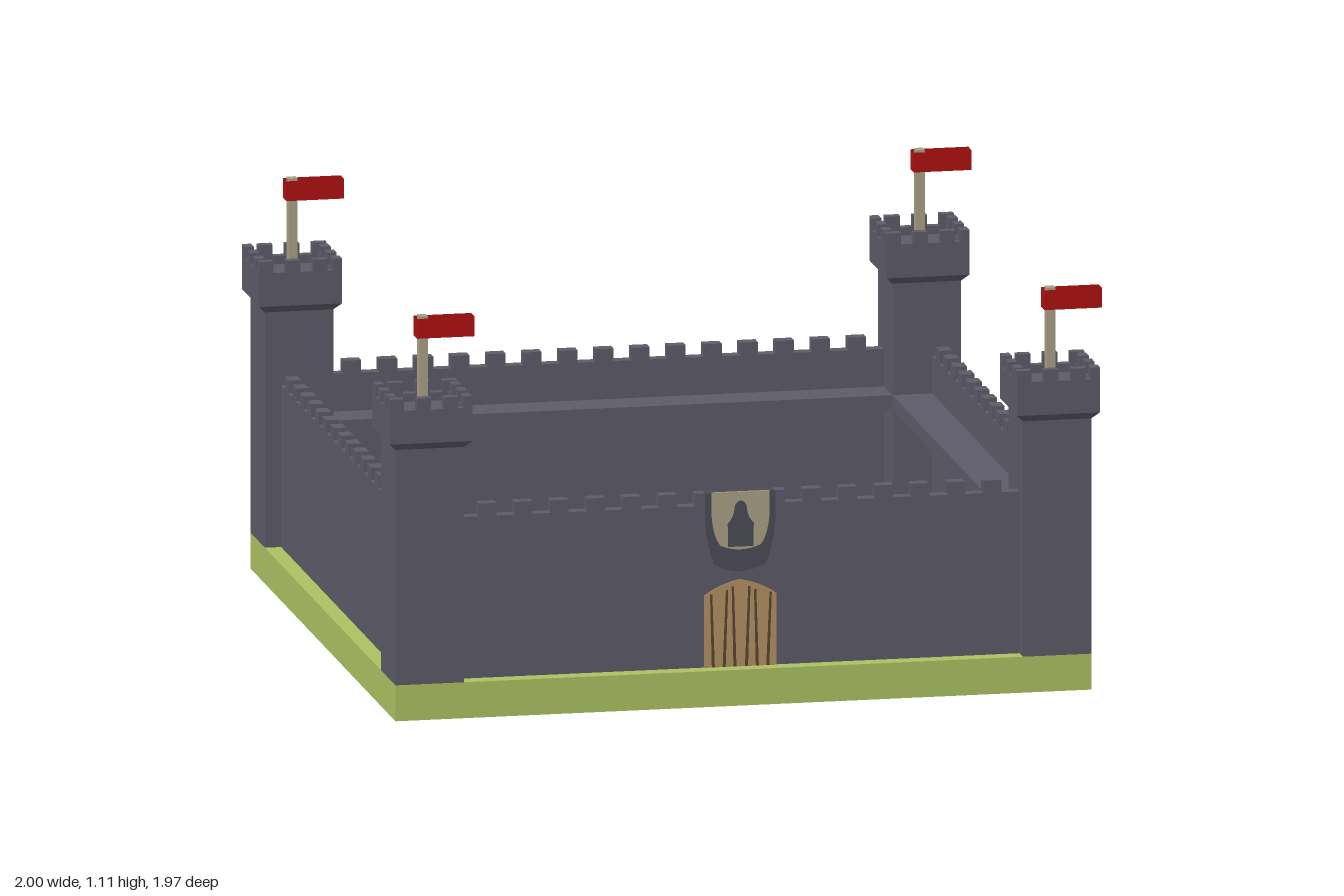
import * as THREE from 'three';

const mat = (name, color) => {
  const m = new THREE.MeshStandardMaterial({ color });
  m.name = name;
  return m;
};

export function createModel() {
  const stone = mat('stone', 0x5c5b68);
  const grass = mat('grass', 0xadc162);
  const wood = mat('wood', 0xb29063);
  const darkWood = mat('darkWood', 0x5a4530);
  const cream = mat('cream', 0xaaa085);
  const red = mat('red', 0xb01010);
  red.side = THREE.DoubleSide;
  const iron = mat('iron', 0x4b4b56);

  const model = new THREE.Group();
  model.name = 'castle';
  const castle = new THREE.Group();
  castle.name = 'castleBody';
  castle.position.x = -0.015;
  model.add(castle);

  const add = (parent, name, geo, material) => {
    const mesh = new THREE.Mesh(geo, material);
    mesh.name = name;
    parent.add(mesh);
    return mesh;
  };
  // Box given by its limits on each axis
  const box = (parent, name, material, x0, x1, y0, y1, z0, z1) => {
    const mesh = add(parent, name, new THREE.BoxGeometry(x1 - x0, y1 - y0, z1 - z0), material);
    mesh.position.set((x0 + x1) / 2, (y0 + y1) / 2, (z0 + z1) / 2);
    return mesh;
  };
  // Outline extruded in z from z0 to z1
  const plate = (parent, name, material, shape, z0, z1) => {
    const geo = new THREE.ExtrudeGeometry(shape, { depth: z1 - z0, bevelEnabled: false, curveSegments: 8 });
    return add(parent, name, geo.translate(0, 0, z0), material);
  };

  // Ground slab
  box(castle, 'ground', grass, -0.965, 0.965, 0, 0.1, -0.965, 0.965);

  // Four thin walls, each with an overhanging walkway and merlons
  for (let i = 0; i < 4; i++) {
    const wall = new THREE.Group();
    wall.name = 'wall';
    wall.rotation.y = (i * Math.PI) / 2;
    castle.add(wall);
    box(wall, 'wallFace', stone, -0.79, 0.79, 0.1, 0.55, 0.885, 0.92);
    box(wall, 'walkway', stone, -0.79, 0.79, 0.405, 0.445, 0.775, 0.89);
    for (let k = -7; k <= 7; k++) {
      box(wall, 'merlon', stone, k * 0.1 - 0.025, k * 0.1 + 0.025, 0.55, 0.585, 0.885, 0.92);
    }
  }

  // Flared collar under the tower head
  const collar = new THREE.CylinderGeometry(0.115 * Math.SQRT2, 0.095 * Math.SQRT2, 0.02, 4)
    .rotateY(Math.PI / 4).toNonIndexed();
  collar.computeVertexNormals();

  // Flag: an open band wrapped around the pole
  const flagBand = () => {
    const corners = [[-0.02, 0.022], [0.14, 0.022], [0.14, -0.022], [-0.02, -0.022]];
    const pos = [];
    corners.forEach(([x, z], i) => {
      const [u, w] = corners[(i + 1) % 4];
      pos.push(x, 1.045, z, u, 1.045, w, u, 1.1, w, x, 1.045, z, u, 1.1, w, x, 1.1, z);
    });
    const geo = new THREE.BufferGeometry();
    geo.setAttribute('position', new THREE.Float32BufferAttribute(pos, 3));
    geo.computeVertexNormals();
    return geo;
  };

  // Corner towers
  for (const sx of [-1, 1]) for (const sz of [-1, 1]) {
    const tower = new THREE.Group();
    tower.name = 'tower';
    tower.position.set(sx * 0.87, 0, sz * 0.87);
    castle.add(tower);
    box(tower, 'towerShaft', stone, -0.095, 0.095, 0.1, 0.76, -0.095, 0.095);
    add(tower, 'towerCollar', collar, stone).position.y = 0.765;
    box(tower, 'towerHead', stone, -0.115, 0.115, 0.775, 0.845, -0.115, 0.115);
    for (let i = 0; i < 4; i++) {
      const side = new THREE.Group();
      side.name = 'towerParapet';
      side.rotation.y = (i * Math.PI) / 2;
      tower.add(side);
      box(side, 'parapet', stone, -0.115, 0.09, 0.845, 0.868, 0.09, 0.115);
      for (const x of [-0.115, -0.04, 0.035]) {
        box(side, 'towerMerlon', stone, x, x + 0.04, 0.868, 0.9, 0.09, 0.115);
      }
    }
    box(tower, 'flagPole', cream, -0.012, 0.012, 0.845, 1.105, -0.015, 0.015);
    add(tower, 'flag', flagBand(), red);
  }

  // Arched gate going through the front wall
  const arch = new THREE.Shape();
  arch.moveTo(-0.1, 0.1);
  arch.lineTo(0.1, 0.1);
  arch.lineTo(0.1, 0.3);
  arch.quadraticCurveTo(0.06, 0.33, 0, 0.342);
  arch.quadraticCurveTo(-0.06, 0.33, -0.1, 0.3);
  plate(castle, 'gate', wood, arch, 0.877, 0.924);

  // Dark gaps between the gate planks
  [-0.075, -0.045, -0.015, 0.017, 0.047, 0.076].forEach((x, i) => {
    const lean = i % 2 ? 0.008 : -0.006;
    const gap = new THREE.Shape();
    gap.moveTo(x - 0.004, 0.1);
    gap.lineTo(x + 0.004, 0.1);
    gap.lineTo(x + lean + 0.003, 0.328 - Math.abs(x) * 0.32);
    gap.lineTo(x + lean - 0.003, 0.328 - Math.abs(x) * 0.32);
    plate(castle, 'plankGap', darkWood, gap, 0.922, 0.926);
  });

  // Shield above the gate
  const shield = new THREE.Shape();
  shield.moveTo(-0.097, 0.586);
  shield.lineTo(-0.097, 0.5);
  shield.quadraticCurveTo(-0.088, 0.42, -0.07, 0.385);
  shield.quadraticCurveTo(0, 0.345, 0.07, 0.385);
  shield.quadraticCurveTo(0.088, 0.42, 0.097, 0.5);
  shield.lineTo(0.097, 0.586);
  plate(castle, 'shield', iron, shield, 0.89, 0.926);

  // Pale shield field with a plain dark charge
  const field = new THREE.Shape();
  field.moveTo(-0.08, 0.587);
  field.lineTo(-0.08, 0.52);
  field.quadraticCurveTo(-0.075, 0.46, -0.055, 0.438);
  field.quadraticCurveTo(0, 0.415, 0.055, 0.438);
  field.quadraticCurveTo(0.075, 0.46, 0.08, 0.52);
  field.lineTo(0.08, 0.587);
  plate(castle, 'shieldField', cream, field, 0.922, 0.929);
  const charge = new THREE.Shape();
  charge.moveTo(-0.035, 0.435);
  charge.lineTo(0.035, 0.435);
  charge.lineTo(0.036, 0.5);
  charge.quadraticCurveTo(0.018, 0.515, 0.016, 0.55);
  charge.quadraticCurveTo(0, 0.575, -0.016, 0.55);
  charge.quadraticCurveTo(-0.018, 0.515, -0.036, 0.5);
  plate(castle, 'shieldCharge', iron, charge, 0.926, 0.931);

  return model;
}
